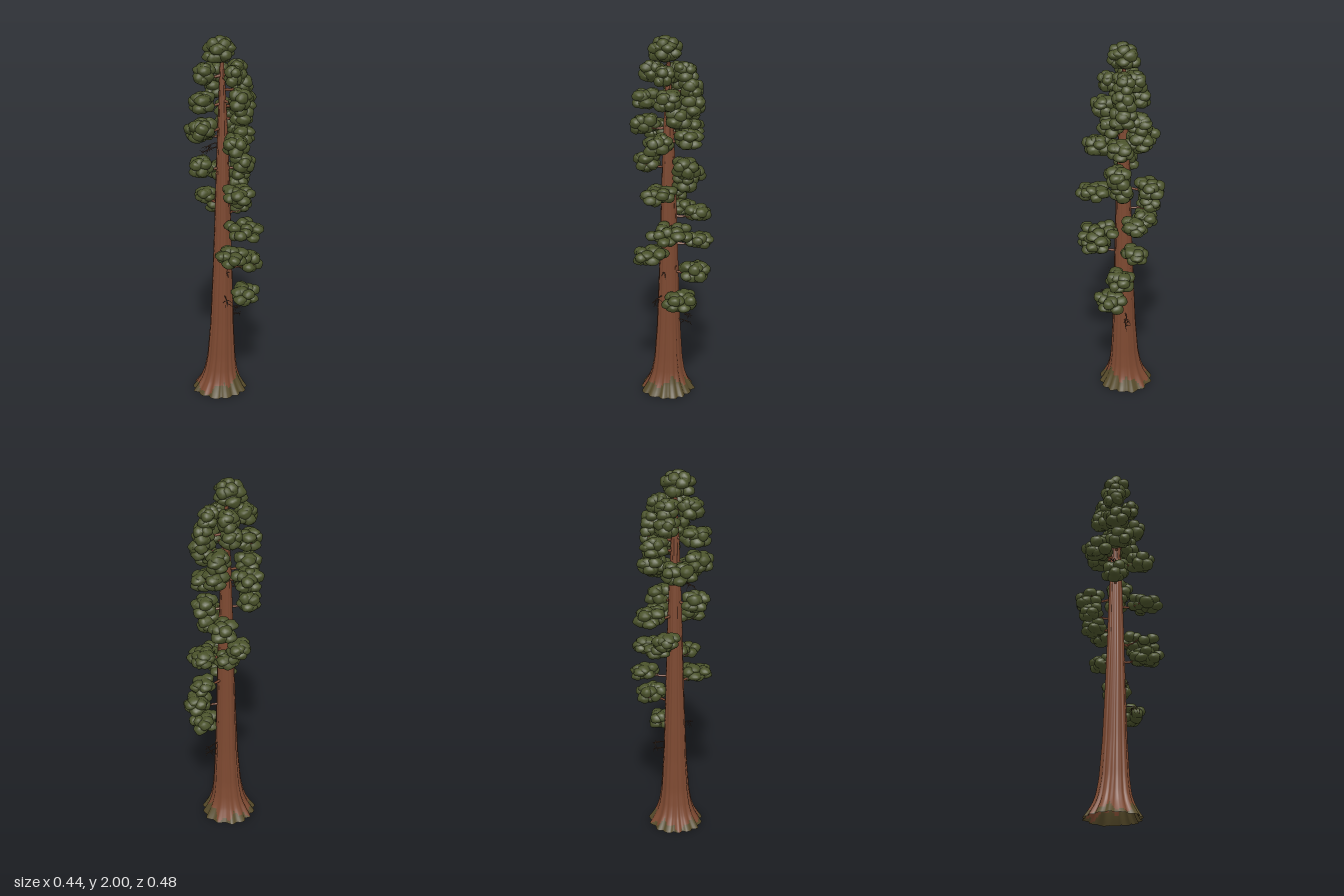
import * as THREE from 'three';
import { mergeGeometries, mergeVertices } from 'three/addons/utils/BufferGeometryUtils.js';

const bark = new THREE.MeshStandardMaterial({ name: 'red bark', color: 0x7c4830, side: THREE.DoubleSide });
const moss = new THREE.MeshStandardMaterial({ name: 'moss', color: 0x574b2a, side: THREE.DoubleSide });
const leaf = new THREE.MeshStandardMaterial({ name: 'dark green foliage', color: 0x4a522a });
const dead = new THREE.MeshStandardMaterial({ name: 'dead wood', color: 0x53392a });

let seed = 7;
const rand = () => (seed = (seed * 16807) % 2147483647) / 2147483647;
const spread = (a) => (rand() * 2 - 1) * a;
const V = (x, y, z) => new THREE.Vector3(x, y, z);

// Trunk profile: height, radius, centre x
const PROFILE = [
  [0, 0.146, -0.034], [0.03, 0.127, -0.033], [0.07, 0.105, -0.031], [0.12, 0.089, -0.029],
  [0.2, 0.077, -0.025], [0.4, 0.064, -0.021], [0.7, 0.053, -0.018], [1, 0.044, -0.016],
  [1.3, 0.035, -0.016], [1.6, 0.023, -0.017], [1.93, 0.006, -0.02],
];
function trunkAt(y) {
  let i = 0;
  while (i < PROFILE.length - 2 && PROFILE[i + 1][0] < y) i++;
  const a = PROFILE[i], b = PROFILE[i + 1];
  const t = (y - a[0]) / (b[0] - a[0]);
  return { r: a[1] + (b[1] - a[1]) * t, x: a[2] + (b[2] - a[2]) * t };
}

// Fluted trunk, open underneath, with a buttressed foot and a ragged moss skirt
function makeTrunk() {
  const rows = 48, cols = 96, pos = [], barkFaces = [], mossFaces = [];
  for (let i = 0; i <= rows; i++) {
    const y = 1.93 * Math.pow(i / rows, 1.8);
    const c = trunkAt(y);
    const flute = 0.035 + 0.06 * Math.exp(-y * 7);
    for (let j = 0; j < cols; j++) {
      const a = (j / cols) * Math.PI * 2;
      const ridge = Math.abs(Math.sin(a * 7 + 0.6 * Math.sin(a * 2) + y * 0.5)) - 0.6;
      const r = c.r * (1 + flute * ridge * 1.3 + 0.025 * Math.sin(a * 5 + 1 + y) + 0.015 * Math.sin(a * 23 + y * 3));
      pos.push(c.x + r * Math.cos(a), y, r * Math.sin(a));
    }
  }
  for (let i = 0; i < rows; i++) {
    const y = 1.93 * Math.pow((i + 0.5) / rows, 1.8);
    for (let j = 0; j < cols; j++) {
      const a = (j / cols) * Math.PI * 2, k = (j + 1) % cols;
      const edge = 0.028 + 0.055 * Math.max(0, Math.cos(a - 0.1)) + 0.018 * Math.sin(a * 5 + 1) + 0.01 * Math.sin(a * 13);
      const p = i * cols + j, q = p + cols, s = i * cols + k, t = s + cols;
      (y < edge ? mossFaces : barkFaces).push(p, q, s, q, t, s);
    }
  }
  const g = new THREE.BufferGeometry();
  g.setAttribute('position', new THREE.Float32BufferAttribute(pos, 3));
  g.setIndex([...barkFaces, ...mossFaces]);
  g.addGroup(0, barkFaces.length, 0);
  g.addGroup(barkFaces.length, mossFaces.length, 1);
  g.computeVertexNormals();
  const mesh = new THREE.Mesh(g, [bark, moss]);
  mesh.name = 'trunk';
  return mesh;
}

// Unit ball shared by all foliage tufts
const ball = new THREE.IcosahedronGeometry(1, 2);
ball.deleteAttribute('normal');
ball.deleteAttribute('uv');
const unitBall = mergeVertices(ball, 1e-4);

function tuft(x, y, z, r, ry) {
  const g = unitBall.clone(), p = g.attributes.position, v = V(0, 0, 0);
  const f = rand() * 6;
  for (let i = 0; i < p.count; i++) {
    v.fromBufferAttribute(p, i);
    const n = 1 + 0.07 * Math.sin(v.x * 4 + f) * Math.sin(v.z * 4 - f)
      + 0.06 * Math.sin(v.y * 5 + f * 2 + v.x * 3);
    p.setXYZ(i, x + v.x * r * n, y + v.y * ry * n, z + v.z * r * n);
  }
  g.computeVertexNormals();
  return g;
}

// Pad of overlapping tufts filling an ellipsoid, sagging away from the trunk
function makePad(x, y, z, rx, ry, rz, name, count) {
  const parts = [], r0 = Math.min(0.036, rx * 0.55), h0 = Math.min(0.028, ry * 0.6);
  const turn = rand() * 6, reach = Math.hypot(x, z);
  for (let i = 0; i < count; i++) {
    const d = Math.sqrt((i + 0.3) / count), a = turn + i * 2.4;
    const r = r0 * (0.85 + rand() * 0.25);
    const dx = (rx - r) * d * Math.cos(a), dz = (rz - r) * d * Math.sin(a);
    const up = (ry - h0) * (i % 2 ? 1 : -1) * (1.1 - 0.5 * d) + spread(0.006) - 0.12 * (dx * x + dz * z) / reach;
    parts.push(tuft(x + dx, y + up, z + dz, r, h0 * (0.9 + rand() * 0.2)));
  }
  const mesh = new THREE.Mesh(mergeGeometries(parts), leaf);
  mesh.name = name;
  return mesh;
}

// Tapered limb through a few points
function limb(points, r0, r1, sides) {
  const curve = new THREE.CatmullRomCurve3(points), n = 8;
  const g = new THREE.TubeGeometry(curve, n, 1, sides, false), p = g.attributes.position, v = V(0, 0, 0);
  for (let i = 0; i < p.count; i++) {
    const t = Math.floor(i / (sides + 1)) / n, c = curve.getPointAt(t);
    v.fromBufferAttribute(p, i).sub(c).multiplyScalar(r0 + (r1 - r0) * t).add(c);
    p.setXYZ(i, v.x, v.y, v.z);
  }
  return g;
}

// Bare branch with thin side twigs
function makeDeadBranch([x, y, z]) {
  const end = V(x, y, z), start = V(trunkAt(y).x, y + 0.02, 0);
  const parts = [limb([start, start.clone().lerp(end, 0.6).add(V(0, 0.008, 0)), end], 0.005, 0.0012, 5)];
  for (let i = 0; i < 7; i++) {
    const from = start.clone().lerp(end, 0.65 + i * 0.05);
    const to = from.clone().add(V(spread(0.03), spread(0.025) - 0.012, spread(0.03)));
    parts.push(limb([from, from.clone().lerp(to, 0.5).add(V(0, 0.004, 0)), to], 0.002, 0.0008, 4));
  }
  const mesh = new THREE.Mesh(mergeGeometries(parts), dead);
  mesh.name = 'deadBranch';
  return mesh;
}

// Foliage pads: centre x, y, z and half width
const PADS = [
  [-0.10, 1.81, 0.06, 0.062], [0.05, 1.815, -0.07, 0.057], [-0.05, 1.80, -0.05, 0.06], [0.05, 1.80, 0.05, 0.05],
  [0.07, 1.735, -0.09, 0.061], [-0.07, 1.715, -0.06, 0.062], [-0.105, 1.665, 0.085, 0.075], [0.08, 1.65, -0.09, 0.071],
  [0.085, 1.68, 0.05, 0.064], [0.085, 1.59, -0.01, 0.067], [-0.02, 1.60, -0.11, 0.066], [-0.14, 1.49, -0.02, 0.089],
  [-0.10, 1.535, 0.10, 0.077], [-0.01, 1.51, -0.12, 0.074], [0.075, 1.455, 0.10, 0.076], [0.08, 1.47, -0.07, 0.07],
  [-0.115, 1.325, 0.08, 0.069], [0.08, 1.32, -0.055, 0.073], [-0.065, 1.245, -0.15, 0.08], [0.06, 1.235, -0.06, 0.064],
  [0.095, 1.195, 0.11, 0.095], [-0.125, 1.12, -0.085, 0.067], [0.05, 1.055, -0.145, 0.068], [-0.07, 1.06, -0.11, 0.069],
  [0.115, 0.98, 0.05, 0.117], [0.055, 0.9, -0.15, 0.073], [0.06, 0.86, 0.142, 0.094], [0.11, 0.745, -0.1, 0.081],
  [0.105, 0.582, -0.015, 0.09],
];

// Pad carried by a drooping limb with two forks; pads at mid height are flatter
function addBough(tree, [x, y, z, rx]) {
  const rz = rx * 1.2, ry = y > 0.8 && y < 1.22 ? 0.042 : 0.055;
  tree.add(makePad(x, y, z, rx, ry, rz, 'foliagePad', 18));
  const start = V(trunkAt(y).x, y - 0.015, 0), end = V(x, y - 0.005, z);
  const mid = start.clone().lerp(end, 0.5).add(V(0, -0.012, 0));
  const parts = [limb([start, mid, end], 0.009, 0.004, 6)];
  for (const s of [-1, 1]) {
    const tip = V(x + s * rx * 0.5, y, z + s * rz * 0.5 * (x * z > 0 ? -1 : 1));
    parts.push(limb([mid, mid.clone().lerp(tip, 0.5).add(V(0, -0.006, 0)), tip], 0.004, 0.002, 5));
  }
  const branch = new THREE.Mesh(mergeGeometries(parts), bark);
  branch.name = 'branch';
  tree.add(branch);
}

export function createModel() {
  const tree = new THREE.Group();
  tree.name = 'giantConifer';
  tree.add(makeTrunk());

  // Crown dome
  tree.add(makePad(-0.03, 1.918, 0.015, 0.092, 0.058, 0.097, 'crown', 24));
  const cap = new THREE.Mesh(mergeGeometries([
    tuft(-0.025, 1.964, 0.015, 0.036, 0.034), tuft(-0.055, 1.954, 0.035, 0.034, 0.034),
    tuft(-0.005, 1.954, -0.015, 0.034, 0.034), tuft(-0.05, 1.95, -0.015, 0.034, 0.034),
    tuft(0.0, 1.95, 0.04, 0.034, 0.034), tuft(-0.03, 1.9, 0.01, 0.06, 0.04),
  ]), leaf);
  cap.name = 'crownTop';
  tree.add(cap);

  for (const pad of PADS) addBough(tree, pad);

  // Bare dead branches
  const snags = [[0.06, 0.46, -0.11], [0.065, 0.42, -0.1], [0.04, 0.57, 0.12], [-0.11, 1.4, 0.08], [0.02, 0.72, 0.04], [-0.1, 1.42, 0.04]];
  for (const s of snags) tree.add(makeDeadBranch(s));
  return tree;
}
